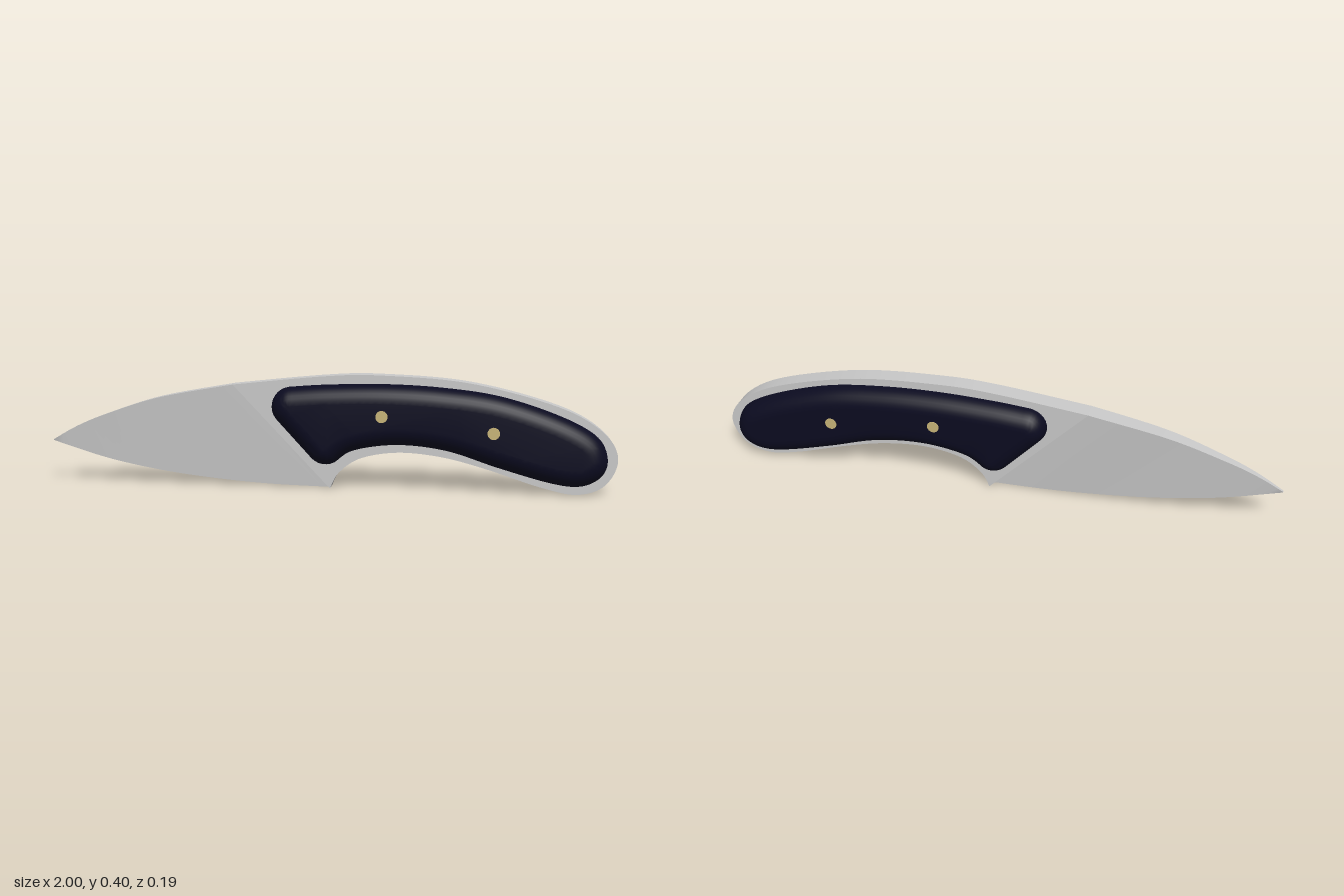
import * as THREE from 'three';
import { mergeVertices, toCreasedNormals } from 'three/addons/utils/BufferGeometryUtils.js';

const HALF = 0.031; // half thickness of the steel
const vec = (pts) => pts.map(([x, y]) => new THREE.Vector2(x, y));

function material(name, color) {
  const m = new THREE.MeshStandardMaterial({ color });
  m.name = name;
  return m;
}

function fromTriangles(positions, crease) {
  const g = new THREE.BufferGeometry();
  g.setAttribute('position', new THREE.Float32BufferAttribute(positions, 3));
  return toCreasedNormals(mergeVertices(g, 1e-5), crease);
}

// Full-thickness steel running through the handle, cut off at the slanted plunge line
function tangGeometry() {
  const s = new THREE.Shape();
  s.moveTo(-0.33, 0.366);
  s.lineTo(0.015, 0.004);
  s.splineThru(vec([[0.045, 0.06], [0.12, 0.113], [0.25, 0.137], [0.4, 0.125], [0.55, 0.088],
    [0.75, 0.025], [0.87, 0.005], [0.96, 0.04], [1.0, 0.13], [0.95, 0.22], [0.8, 0.305],
    [0.5, 0.382], [0.2, 0.405], [0, 0.4], [-0.33, 0.366]]));
  const g = new THREE.ExtrudeGeometry(s, { depth: 2 * HALF, bevelEnabled: false, curveSegments: 8 });
  g.translate(0, 0, -HALF);
  return toCreasedNormals(g, 0.6);
}

// Wedge sections from spine to cutting edge, thinning toward the tip
function bladeGeometry() {
  const spine = new THREE.SplineCurve(vec([[-0.33, 0.366], [-0.6, 0.315], [-0.8, 0.25], [-0.91, 0.204], [-1, 0.153]]));
  const edge = new THREE.SplineCurve(vec([[0.015, 0.004], [-0.2, 0.01], [-0.4, 0.025], [-0.6, 0.05], [-0.8, 0.09], [-1, 0.15]]));
  const n = 32, rings = [], pos = [];
  for (let i = 0; i <= n; i++) {
    const s = spine.getPointAt(i / n), e = edge.getPointAt(i / n);
    const t = HALF * (1 - 0.86 * Math.pow(Math.max(0, (-0.33 - s.x) / 0.67), 1.7));
    const w = 0.003;
    rings.push([[s.x, s.y, t], [e.x, e.y, w], [e.x, e.y, -w], [s.x, s.y, -t]]);
  }
  for (let i = 0; i < n; i++) {
    const a = rings[i], b = rings[i + 1];
    for (let k = 0; k < 4; k++) {
      const m = (k + 1) % 4;
      pos.push(...a[k], ...b[k], ...b[m], ...a[k], ...b[m], ...a[m]);
    }
  }
  const tip = rings[n];
  pos.push(...tip[0], ...tip[3], ...tip[2], ...tip[0], ...tip[2], ...tip[1]);
  return fromTriangles(pos, 0.5);
}

// Handle slab with a quarter-round outer edge
function scaleGeometry() {
  const s = new THREE.Shape(), deg = Math.PI / 180, r = 0.062;
  s.absarc(-0.12, 0.292, 0.07, 97 * deg, 225 * deg, false);
  s.absarc(0, 0.16, 0.069, 225 * deg, 300 * deg, false);
  s.splineThru(vec([[0.1, 0.143], [0.25, 0.165], [0.42, 0.148], [0.6, 0.092], [0.78, 0.043],
    [0.88, 0.036], [0.947, 0.072], [0.965, 0.135], [0.925, 0.21], [0.8, 0.277], [0.6, 0.34],
    [0.4, 0.367], [0.2, 0.376], [0, 0.371], [-0.1285, 0.3615]]));
  const outline = s.getSpacedPoints(180);
  outline.pop();
  const n = outline.length, steps = 8, rings = [], pos = [];
  for (let j = 0; j <= steps; j++) {
    const a = (j / steps) * Math.PI / 2, inset = r * (1 - Math.cos(a));
    rings.push(outline.map((p, i) => {
      const d = outline[(i + 1) % n].clone().sub(outline[(i + n - 1) % n]).normalize();
      return [p.x - d.y * inset, p.y + d.x * inset, HALF + r * Math.sin(a)];
    }));
  }
  for (let j = 0; j < steps; j++) {
    for (let i = 0; i < n; i++) {
      const k = (i + 1) % n, a = rings[j], b = rings[j + 1];
      pos.push(...a[i], ...a[k], ...b[k], ...a[i], ...b[k], ...b[i]);
    }
  }
  // Flat outer face
  const top = rings[steps];
  for (const f of THREE.ShapeUtils.triangulateShape(vec(top), [])) {
    f.forEach((i) => pos.push(...top[i]));
  }
  return fromTriangles(pos, 0.7);
}

export function createModel() {
  const steel = material('steel', 0xc9c9c9);
  const navy = material('navy handle', 0x0b0b20);
  const brass = material('brass', 0xc8b478);
  const knife = new THREE.Group();
  knife.name = 'knife';
  const add = (name, geometry, mat) => {
    const mesh = new THREE.Mesh(geometry, mat);
    mesh.name = name;
    knife.add(mesh);
    return mesh;
  };

  add('tang', tangGeometry(), steel);
  add('blade', bladeGeometry(), steel);

  // Handle scales: the back one is a true mirror of the front
  const front = scaleGeometry();
  add('frontScale', front, navy);
  add('backScale', front, navy).scale.z = -1;

  // Pins run right through the handle
  [[0.2, 0.27], [0.58, 0.22]].forEach(([x, y], i) => {
    const pin = new THREE.CylinderGeometry(0.021, 0.021, 0.19, 24).rotateX(Math.PI / 2);
    add(`pin${i + 1}`, pin, brass).position.set(x, y, 0);
  });
  return knife;
}
